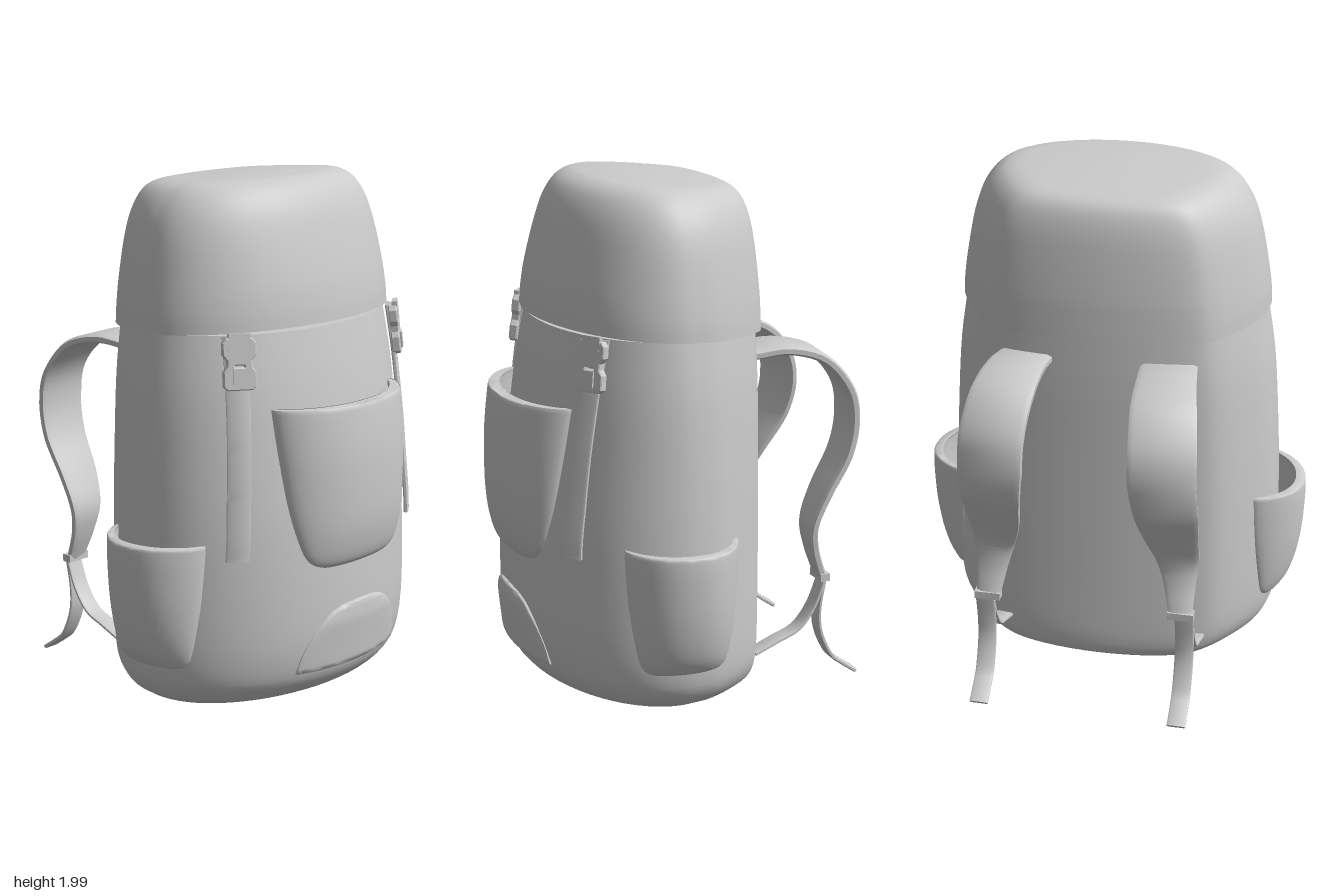
import * as THREE from 'three';
import { toCreasedNormals } from 'three/addons/utils/BufferGeometryUtils.js';

const V = (x, y, z) => new THREE.Vector3(x, y, z);
const material = new THREE.MeshStandardMaterial({ color: 0xcccccc, roughness: 0.8 });

// Skin a list of equal-sized point rings, close both ends, face outward
function loft(rings, crease = 0.7) {
  const m = rings[0].length, idx = [], pts = rings.flat();
  const quad = (a, b, c, d) => idx.push(a, b, c, a, c, d);
  for (let r = 0; r < rings.length - 1; r++)
    for (let i = 0; i < m; i++) {
      const j = (i + 1) % m;
      quad(r * m + i, r * m + j, (r + 1) * m + j, (r + 1) * m + i);
    }
  const e = (rings.length - 1) * m;
  for (let i = 0; i < m / 2 - 1; i++) {
    quad(i, m - 1 - i, m - 2 - i, i + 1);
    quad(e + i, e + i + 1, e + m - 2 - i, e + m - 1 - i);
  }
  let volume = 0;
  const t = V(0, 0, 0);
  for (let i = 0; i < idx.length; i += 3)
    volume += pts[idx[i]].dot(t.crossVectors(pts[idx[i + 1]], pts[idx[i + 2]]));
  if (volume < 0) idx.reverse();
  const g = new THREE.BufferGeometry().setFromPoints(pts);
  g.setIndex(idx);
  return toCreasedNormals(g, crease);
}

// Smoothly subdivide rows of numbers
function smoothRows(rows, steps = 4) {
  const f = new THREE.CubicInterpolant(rows.map((_, i) => i), rows.flat(), rows[0].length);
  const out = [];
  for (let i = 0; i <= (rows.length - 1) * steps; i++) out.push(Array.from(f.evaluate(i / steps)));
  return out;
}

// Plan outline: elliptical front, flatter back with soft corners
const CX = 0.12;
const backHalf = [[0, 1], [0.25, 0.97], [0.48, 0.89], [0.76, 0.745], [0.87, 0.64], [0.96, 0.385], [1, 0]];
const backCurve = new THREE.CatmullRomCurve3(
  [...backHalf, ...backHalf.slice(0, -1).reverse().map(([x, z]) => [x, -z])].map(([x, z]) => V(-x, 0, z)));
const unitPlan = [];
for (let i = 0; i < 32; i++) {
  const a = -Math.PI / 2 + (i / 32) * Math.PI;
  unitPlan.push(V(Math.cos(a), 0, Math.sin(a)));
}
unitPlan.push(...backCurve.getPoints(40).slice(0, -1));
const plan = (y, xb, xf, w, tilt = 0) => unitPlan.map((p) => {
  const x = CX + p.x * (p.x > 0 ? xf - CX : CX - xb);
  return V(x, y + tilt * (x + 0.31) / 0.84, p.z * w);
});

// Rows: height, back x, front x, half width
const bodyRows = [
  [0.01, -0.2, 0.25, 0.38], [0.02, -0.255, 0.38, 0.48], [0.05, -0.278, 0.5, 0.565], [0.1, -0.287, 0.57, 0.62],
  [0.18, -0.29, 0.61, 0.65], [0.35, -0.29, 0.63, 0.66], [0.7, -0.29, 0.62, 0.655], [1, -0.29, 0.585, 0.64],
  [1.25, -0.29, 0.55, 0.62], [1.46, -0.285, 0.51, 0.587]];
const lidRows = [
  [1.43, -0.31, 0.53, 0.6], [1.5, -0.308, 0.523, 0.595], [1.6, -0.304, 0.505, 0.58], [1.75, -0.29, 0.465, 0.55],
  [1.85, -0.275, 0.43, 0.513], [1.92, -0.25, 0.385, 0.46], [1.953, -0.21, 0.33, 0.395], [1.963, -0.14, 0.27, 0.28],
  [1.97, -0.02, 0.2, 0.13], [1.973, 0.115, 0.125, 0.004]];

// Points on the body surface
const bodyAt = new THREE.LinearInterpolant(bodyRows.map((r) => r[0]), bodyRows.flatMap((r) => r.slice(1)), 3);
function frontX(z, y) {
  const [, xf, w] = bodyAt.evaluate(y);
  return CX + (xf - CX) * Math.sqrt(Math.max(0, 1 - (z / w) ** 2));
}
function sideZ(x, y) {
  const [xb, xf, w] = bodyAt.evaluate(y);
  return w * Math.sqrt(1 - ((x - CX) / (x > CX ? xf - CX : CX - xb)) ** 2);
}
function frontNormal(z, y) {
  const [, xf, w] = bodyAt.evaluate(y);
  return V((frontX(z, y) - CX) / (xf - CX) ** 2, 0, z / w ** 2).normalize();
}

// Curved shell; rows: height, half width, bulge
function pocket(rows, thickness, place) {
  const n = 24;
  return loft(smoothRows(rows).map(([y, half, bulge]) => {
    const outer = [], inner = [];
    for (let i = 0; i <= n; i++) {
      const s = Math.sin((i / n - 0.5) * Math.PI);
      const d = 0.008 + bulge * Math.sqrt(1 - Math.abs(s) ** 2.5);
      outer.push(place(s * half, y, d));
      inner.unshift(place(s * half * 0.97, y, d - thickness));
    }
    return [...outer, ...inner];
  }), 0.9);
}

// Flat strap along a path; points: x, y, z, width
function strap(points, thickness, sideAt) {
  const curve = new THREE.CatmullRomCurve3(points.map((p) => V(...p)), false, 'catmullrom');
  const widths = points.map((p) => p[3]), n = (points.length - 1) * 5, rings = [];
  for (let i = 0; i <= n; i++) {
    const t = i / n, k = t * (widths.length - 1), a = Math.min(Math.floor(k), widths.length - 2);
    const w = THREE.MathUtils.lerp(widths[a], widths[a + 1], k - a) / 2, h = thickness / 2;
    const c = curve.getPoint(t), side = sideAt(c).normalize();
    const up = curve.getTangent(t).cross(side).normalize();
    // chamfered section
    rings.push([[-w, -h * 0.5], [-w + h, -h], [w - h, -h], [w, -h * 0.5], [w, h * 0.5], [w - h, h], [-w + h, h], [-w, h * 0.5]]
      .map(([u, v]) => c.clone().addScaledVector(side, u).addScaledVector(up, v)));
  }
  return loft(rings, 0.8);
}

// Side-release buckle outline with a waist and a slot
function buckleGeometry() {
  const s = new THREE.Shape();
  const half = [[0.044, -0.095], [0.056, -0.085], [0.056, -0.035], [0.042, -0.015], [0.042, 0.01], [0.058, 0.03], [0.058, 0.07], [0.045, 0.085]];
  half.forEach(([x, y], i) => (i ? s.lineTo(x, y) : s.moveTo(x, y)));
  [...half].reverse().forEach(([x, y]) => s.lineTo(-x, y));
  const slot = (y0, y1, w) => s.holes.push(new THREE.Path([[-w, y0], [-w, y1], [w, y1], [w, y0]].map(([x, y]) => new THREE.Vector2(x, y))));
  slot(0.045, 0.062, 0.038);
  slot(-0.02, -0.005, 0.022);
  return new THREE.ExtrudeGeometry(s, { depth: 0.025, bevelSize: 0.004, bevelThickness: 0.004, bevelSegments: 1 });
}

export function createModel() {
  const model = new THREE.Group();
  const add = (name, geometry, parent = model) => {
    const mesh = new THREE.Mesh(geometry, material);
    mesh.name = name;
    parent.add(mesh);
    return mesh;
  };

  add('body', loft(smoothRows(bodyRows).map((r) => plan(...r)), 0.9));
  add('lid', loft(smoothRows(lidRows).map((r) => plan(...r, 0.048)), 0.9));

  // Pockets
  add('frontPocket', pocket(
    [[0.572, 0.13, 0], [0.576, 0.19, 0.012], [0.6, 0.245, 0.03], [0.66, 0.283, 0.05], [0.8, 0.32, 0.08], [1, 0.342, 0.102],
      [1.17, 0.352, 0.107], [1.185, 0.35, 0.1]], 0.04, (u, y, d) => V(frontX(u, y) + d, y, u)));
  add('basePatch', pocket(
    [[0.17, 0.285, 0.008], [0.178, 0.29, 0.012], [0.25, 0.272, 0.012], [0.33, 0.225, 0.012], [0.385, 0.165, 0.011], [0.41, 0.1, 0.009],
      [0.417, 0.02, 0.004]], 0.04, (u, y, d) => V(frontX(u, y) + d, y, u)));
  const sideRows = [[0.215, 0.1, 0], [0.219, 0.135, 0.012], [0.24, 0.163, 0.03], [0.3, 0.183, 0.057], [0.45, 0.206, 0.088], [0.6, 0.217, 0.1],
    [0.685, 0.22, 0.1], [0.698, 0.219, 0.094]];

  for (const s of [1, -1]) {
    const side = s > 0 ? 'left' : 'right';
    add(side + 'SidePocket', pocket(sideRows, 0.032, (u, y, d) => V(0.145 + u, y, s * (sideZ(0.145 + u, y) + d))));

    // Shoulder strap, slightly twisted where it stands off the back
    add(side + 'ShoulderStrap', strap([
      [-0.23, 1.325, 0.27, 0.21], [-0.38, 1.338, 0.285, 0.22], [-0.53, 1.295, 0.3, 0.24], [-0.63, 1.18, 0.315, 0.25],
      [-0.655, 1.05, 0.32, 0.25], [-0.625, 0.91, 0.33, 0.235], [-0.54, 0.76, 0.34, 0.2], [-0.485, 0.64, 0.355, 0.16],
      [-0.49, 0.54, 0.365, 0.12], [-0.525, 0.425, 0.375, 0.09]].map(([x, y, z, w]) => [x, y, s * z, w]), 0.036,
    (c) => V(s * 0.15 * THREE.MathUtils.smoothstep(-c.x, 0.3, 0.65), 0, 1)));
    add(side + 'StrapAdjuster', new THREE.BoxGeometry(0.04, 0.03, 0.1)).position.set(-0.526, 0.425, s * 0.377);
    const web = (name, pts) => add(side + name, strap(pts.map(([x, y]) => [x, y, s * 0.39, 0.072]), 0.016, () => V(0, 0, 1)));
    web('LooseEnd', [[-0.53, 0.43], [-0.508, 0.3], [-0.515, 0.2], [-0.56, 0.1], [-0.61, 0.055], [-0.672, 0.012]]);
    web('LowerWebbing', [[-0.53, 0.43], [-0.485, 0.31], [-0.42, 0.225], [-0.33, 0.185], [-0.235, 0.145]]);

    // Lid fastening: webbing down the front and a buckle under the lid
    const zTop = s > 0 ? 0.44 : -0.425, zEnd = s > 0 ? 0.497 : -0.425;
    const path = [1.46, 1.4, 1.3, 1.15, 1, 0.85, 0.72, 0.645].map((y) => {
      const z = THREE.MathUtils.lerp(zEnd, zTop, (y - 0.645) / 0.815);
      const p = V(frontX(z, y), y, z).addScaledVector(frontNormal(z, y), 0.02);
      return [p.x, p.y, p.z, 0.088];
    });
    add(side + 'LidWebbing', strap(path, 0.018, (c) => frontNormal(c.z, c.y).cross(V(0, 1, 0))));
    const n = frontNormal(zTop, 1.37), buckle = new THREE.Group();
    buckle.name = side + 'Buckle';
    buckle.position.set(frontX(zTop, 1.37), 1.37, zTop).addScaledVector(n, 0.025);
    buckle.rotation.set(-0.12, Math.atan2(n.x, n.z), 0, 'YXZ');
    add('buckleFrame', buckleGeometry(), buckle);
    add('buckleTongue', new THREE.BoxGeometry(0.05, 0.06, 0.012), buckle).position.set(0, -0.05, 0.03);
    add('buckleLoop', new THREE.BoxGeometry(0.08, 0.06, 0.02), buckle).position.set(0, 0.075, 0.02);
    model.add(buckle);
  }
  return model;
}
